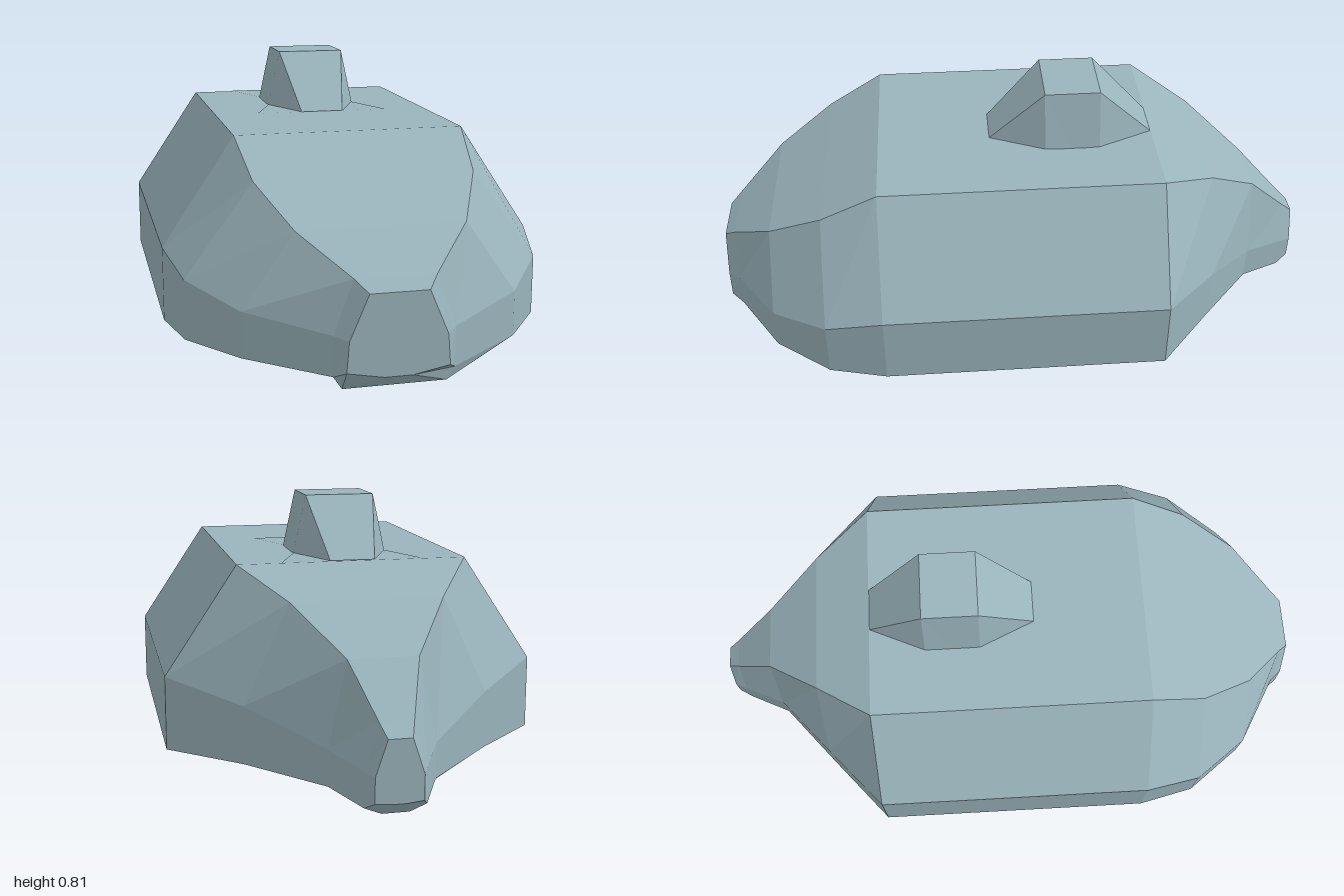
import * as THREE from 'three';

const material = new THREE.MeshStandardMaterial({ color: 0x9ab4bc, flatShading: true });

// Flat-faced mesh from a list of convex corner loops
function facesMesh(name, faces) {
  const pos = [];
  for (const f of faces) {
    for (let i = 1; i < f.length - 1; i++) pos.push(...f[0], ...f[i], ...f[i + 1]);
  }
  const geometry = new THREE.BufferGeometry();
  geometry.setAttribute('position', new THREE.Float32BufferAttribute(pos, 3));
  geometry.computeVertexNormals();
  const mesh = new THREE.Mesh(geometry, material);
  mesh.name = name;
  return mesh;
}

// Hull sections, front to back: z, then x,y of keel, chine, shoulder and deck edge
const sections = [
  [1.0, 0.04, 0.04, 0.147, 0.06, 0.14, 0.15, 0.085, 0.28],
  [0.96, 0.15, 0, 0.175, 0.037, 0.175, 0.155, 0.118, 0.312],
  [0.82, 0.15, 0, 0.405, 0.058, 0.405, 0.195, 0.25, 0.415],
  [0.64, 0.15, 0, 0.54, 0.058, 0.54, 0.24, 0.335, 0.52],
  [0.455, 0.15, 0, 0.583, 0.058, 0.583, 0.287, 0.36, 0.622],
  [-0.455, 0.15, 0, 0.583, 0.058, 0.583, 0.287, 0.36, 0.622],
  [-0.64, 0.13, 0, 0.372, 0.058, 0.372, 0.235, 0.233, 0.537],
  [-0.82, 0.1, 0, 0.16, 0.037, 0.16, 0.147, 0.105, 0.405],
  [-0.96, 0.04, 0, 0.09, 0.02, 0.09, 0.125, 0.05, 0.262],
  [-1.0, 0.02, 0.04, 0.07, 0.045, 0.07, 0.12, 0.035, 0.225],
];

function buildHull() {
  const rings = sections.map(([z, ...p]) => {
    const half = [0, 2, 4, 6].map((i) => [p[i], p[i + 1], z]);
    return [...half, ...half.map(([x, y]) => [-x, y, z]).reverse()];
  });
  const faces = [rings[0], [...rings[rings.length - 1]].reverse()];
  for (let i = 0; i < rings.length - 1; i++) {
    for (let j = 0; j < 8; j++) {
      const k = (j + 1) % 8;
      faces.push([rings[i][j], rings[i + 1][j], rings[i + 1][k], rings[i][k]]);
    }
  }
  return facesMesh('hull', faces);
}

// Raised tower: one quarter mirrored in x and z, with flat corner fins on the deck
function buildTower() {
  const top = 0.808, deck = 0.62, fin = 0.624, a = 0.09, b = 0.27;
  const A = [0.11, top, a], B = [0.07, fin, b], C = [0.22, fin, b], D = [0.15, fin, a];
  const quarter = [
    [[0, top, 0], [0, top, a], A, [0.11, top, 0]],
    [[0, top, a], [0, fin, b], B, A],
    [A, B, D],
    [B, C, D],
    [A, D, [0.15, deck, 0], [0.11, top, 0]],
  ];
  const faces = [];
  for (const sx of [1, -1]) {
    for (const sz of [1, -1]) {
      for (const f of quarter) {
        const m = f.map(([x, y, z]) => [x * sx, y, z * sz]);
        faces.push(sx * sz > 0 ? m : m.reverse());
      }
    }
  }
  const tower = facesMesh('tower', faces);
  tower.position.z = -0.183;
  return tower;
}

export function createModel() {
  const group = new THREE.Group();
  group.name = 'armouredHull';
  group.add(buildHull(), buildTower());
  return group;
}
